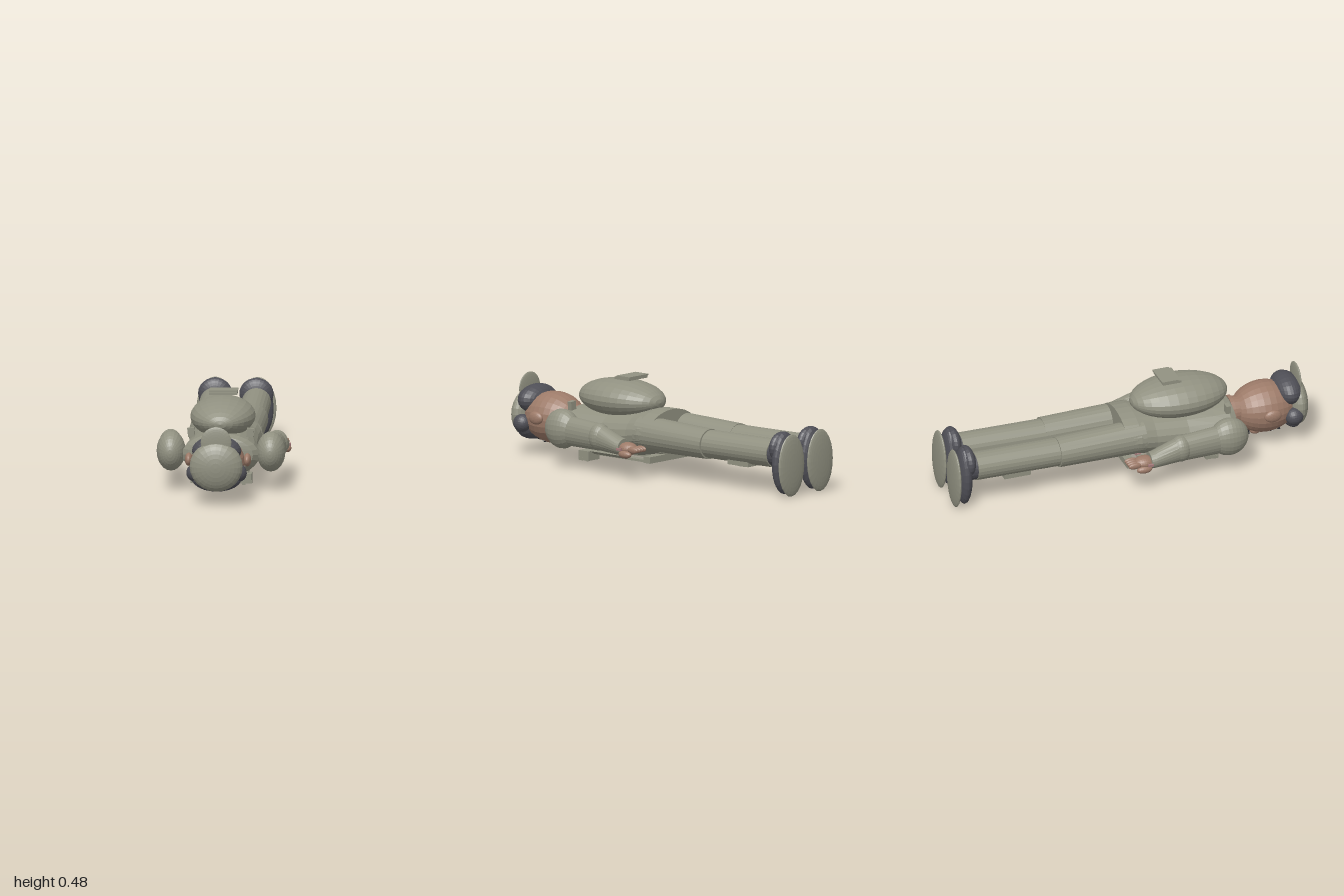
import * as THREE from 'three';

const mat = (name, color) => {
  const m = new THREE.MeshStandardMaterial({ color });
  m.name = name;
  return m;
};

export function createModel() {
  const cloth = mat('khaki cloth', 0x919181);
  const skin = mat('skin', 0x9d7b69);
  const dark = mat('dark hair and boots', 0x4f4f56);
  const black = mat('black', 0x28282c);
  const pink = mat('dusty pink', 0xa67c7c);
  const white = mat('eye white', 0xd8d8d2);
  const root = new THREE.Group();
  root.name = 'lyingSoldier';

  // Faceted normals for every part
  const add = (name, geo, material, parent = root) => {
    const g = geo.index ? geo.toNonIndexed() : geo;
    g.computeVertexNormals();
    const mesh = new THREE.Mesh(g, material);
    mesh.name = name;
    parent.add(mesh);
    return mesh;
  };
  // Ellipsoid with its poles along the body axis (z)
  const ball = (name, m, [x, y, z], [rx, ry, rz], parent) => add(name,
    new THREE.SphereGeometry(1, 24, 16).rotateX(Math.PI / 2).scale(rx, ry, rz).translate(x, y, z), m, parent);
  const box = (name, m, [x, y, z], [w, h, d], parent, turn = 0) => add(name,
    new THREE.BoxGeometry(w, h, d).rotateZ(turn).translate(x, y, z), m, parent);
  // Closed loft of elliptical rings along z: [z, cx, cy, rx, ry], z ascending
  const loft = (name, m, rings, parent, n = 24) => {
    const first = rings[0], last = rings[rings.length - 1];
    const all = [[first[0], first[1], first[2], 0, 0], ...rings, [last[0], last[1], last[2], 0, 0]];
    const pos = [], idx = [];
    all.forEach(([z, cx, cy, rx, ry], i) => {
      for (let j = 0; j < n; j++) {
        const a = (j / n) * Math.PI * 2;
        pos.push(cx + rx * Math.cos(a), cy + ry * Math.sin(a), z);
        if (i === 0) continue;
        const k = (j + 1) % n, p = (i - 1) * n, q = i * n;
        idx.push(p + j, p + k, q + k, p + j, q + k, q + j);
      }
    });
    const g = new THREE.BufferGeometry();
    g.setAttribute('position', new THREE.Float32BufferAttribute(pos, 3));
    g.setIndex(idx);
    return add(name, g, m, parent);
  };

  // Torso, belt and neck
  loft('torso', cloth, [
    [-0.05, 0, 0.225, 0.19, 0.118], [0.03, 0, 0.222, 0.195, 0.12], [0.12, 0, 0.205, 0.182, 0.122],
    [0.3, 0, 0.19, 0.182, 0.122], [0.45, 0, 0.19, 0.2, 0.122], [0.53, 0, 0.2, 0.2, 0.112],
    [0.565, 0, 0.205, 0.17, 0.095], [0.575, 0, 0.205, 0.1, 0.08]]);
  loft('neck', skin, [[0.55, 0, 0.21, 0.075, 0.075], [0.66, 0, 0.21, 0.07, 0.072]]);
  loft('neckBand', skin, [[0.575, 0, 0.21, 0.08, 0.082], [0.595, 0, 0.21, 0.08, 0.082]]);
  ball('neckKnot', pink, [0, 0.145, 0.595], [0.035, 0.025, 0.025]);

  // Pack with a flap plate floating above it
  ball('backpack', cloth, [0, 0.363, 0.3], [0.169, 0.101, 0.264]);
  box('packPlate', cloth, [0, 0.477, 0.24], [0.145, 0.013, 0.1]);
  box('packLid', cloth, [0, 0.487, 0.23], [0.148, 0.007, 0.09]);

  // Belt and buckle on the underside
  const kit = new THREE.Group();
  kit.name = 'frontKit';
  root.add(kit);
  box('beltPlate', cloth, [0, 0.093, -0.022], [0.34, 0.034, 0.045], kit);
  box('buckle', pink, [0, 0.062, 0.07], [0.05, 0.008, 0.03], kit);

  // Head and face (looking down, -y)
  const head = new THREE.Group();
  head.name = 'head';
  root.add(head);
  ball('skull', skin, [0, 0.204, 0.77], [0.14, 0.136, 0.175], head);
  ball('nose', skin, [0, 0.07, 0.725], [0.024, 0.022, 0.03], head);
  box('mouth', pink, [0, 0.09, 0.64], [0.05, 0.008, 0.012], head);
  ball('backHair', dark, [0, 0.287, 0.895], [0.128, 0.079, 0.076], head);
  ball('fringe', dark, [0, 0.145, 0.91], [0.13, 0.07, 0.05], head);
  ball('cap', cloth, [0, 0.212, 0.94], [0.138, 0.132, 0.06], head);
  ball('capPeak', cloth, [0, 0.34, 0.95], [0.08, 0.082, 0.012], head);

  for (const s of [1, -1]) {
    const side = s > 0 ? 'left' : 'right';

    // Ears, side hair, eyes, brows and bristly moustache
    ball(side + 'Ear', skin, [s * 0.152, 0.218, 0.768], [0.02, 0.034, 0.046], head);
    ball(side + 'SideHair', dark, [s * 0.112, 0.172, 0.9], [0.045, 0.047, 0.048], head);
    ball(side + 'Eye', white, [s * 0.05, 0.088, 0.795], [0.022, 0.008, 0.016], head);
    ball(side + 'Pupil', black, [s * 0.05, 0.081, 0.795], [0.01, 0.006, 0.01], head);
    box(side + 'Brow', black, [s * 0.055, 0.093, 0.828], [0.055, 0.012, 0.012], head, s * 0.3);
    for (let i = 0; i < 5; i++) {
      box(side + 'Moustache', black, [s * (0.01 + i * 0.018), 0.083 + i * 0.006, 0.672 - i * 0.007],
        [0.022, 0.012, 0.03], head, s * 0.25);
    }

    // Chest harness: shoulder clips, straps and pouches
    box(side + 'ShoulderClip', cloth, [s * 0.153, 0.315, 0.515], [0.036, 0.045, 0.025], kit, s * -0.1);
    box(side + 'ChestStrap', cloth, [s * 0.06, 0.064, 0.25], [0.04, 0.012, 0.39], kit);
    box(side + 'SideStrap', cloth, [s * 0.125, 0.083, 0.3], [0.035, 0.012, 0.28], kit, s * 0.55);
    box(side + 'ChestPouch', cloth, [s * 0.115, 0.062, 0.43], [0.085, 0.05, 0.07], kit);
    box(side + 'PouchFlap', cloth, [s * 0.115, 0.044, 0.448], [0.09, 0.016, 0.025], kit);
    box(side + 'PouchClasp', cloth, [s * 0.115, 0.031, 0.44], [0.018, 0.01, 0.015], kit);

    // Arm
    const arm = new THREE.Group();
    arm.name = side + 'Arm';
    root.add(arm);
    ball('shoulder', cloth, [s * 0.259, 0.211, 0.484], [0.075, 0.104, 0.104], arm);
    loft('upperArm', cloth, [[0.2, s * 0.274, 0.2, 0.052, 0.07], [0.44, s * 0.26, 0.205, 0.055, 0.078]], arm);
    ball('elbow', cloth, [s * 0.276, 0.202, 0.21], [0.059, 0.072, 0.058], arm);
    loft('forearm', cloth, [[0.035, s * 0.282, 0.17, 0.047, 0.042], [0.06, s * 0.282, 0.172, 0.05, 0.046],
      [0.2, s * 0.276, 0.2, 0.054, 0.068]], arm);
    ball('palm', skin, [s * 0.282, 0.165, 0.005], [0.045, 0.034, 0.055], arm);
    for (let i = 0; i < 4; i++) {
      ball('finger', skin, [s * (0.25 + i * 0.021), 0.167, -0.055], [0.0115, 0.017, 0.036], arm);
    }
    ball('thumb', skin, [s * 0.318, 0.14, -0.005], [0.02, 0.02, 0.042], arm);
    box('cuffTab', pink, [s * 0.33, 0.165, 0.025], [0.014, 0.012, 0.03], arm);

    // Leg with shin pouch, boot and sole
    const leg = new THREE.Group();
    leg.name = side + 'Leg';
    root.add(leg);
    loft('thigh', cloth, [[-0.415, s * 0.112, 0.217, 0.084, 0.079], [0.06, s * 0.106, 0.222, 0.086, 0.09]], leg);
    loft('shin', cloth, [[-0.87, s * 0.109, 0.222, 0.076, 0.074], [-0.4, s * 0.107, 0.217, 0.079, 0.074]], leg);
    box('shinPouch', cloth, [s * 0.112, 0.157, -0.645], [0.085, 0.042, 0.145], leg);
    box('shinClasp', cloth, [s * 0.112, 0.134, -0.645], [0.03, 0.012, 0.05], leg);
    loft('ankle', dark, [[-0.93, s * 0.109, 0.222, 0.07, 0.07], [-0.865, s * 0.109, 0.222, 0.07, 0.07]], leg);
    ball('bootHeel', dark, [s * 0.107, 0.26, -0.91], [0.089, 0.082, 0.04], leg);
    ball('bootToe', dark, [s * 0.108, 0.178, -0.93], [0.087, 0.163, 0.042], leg);
    ball('sole', cloth, [s * 0.11, 0.171, -0.98], [0.097, 0.164, 0.02], leg);
  }
  box('bootless hip seam', cloth, [0, 0.222, -0.02], [0.04, 0.16, 0.04]).name = 'crotch';
  return root;
}
